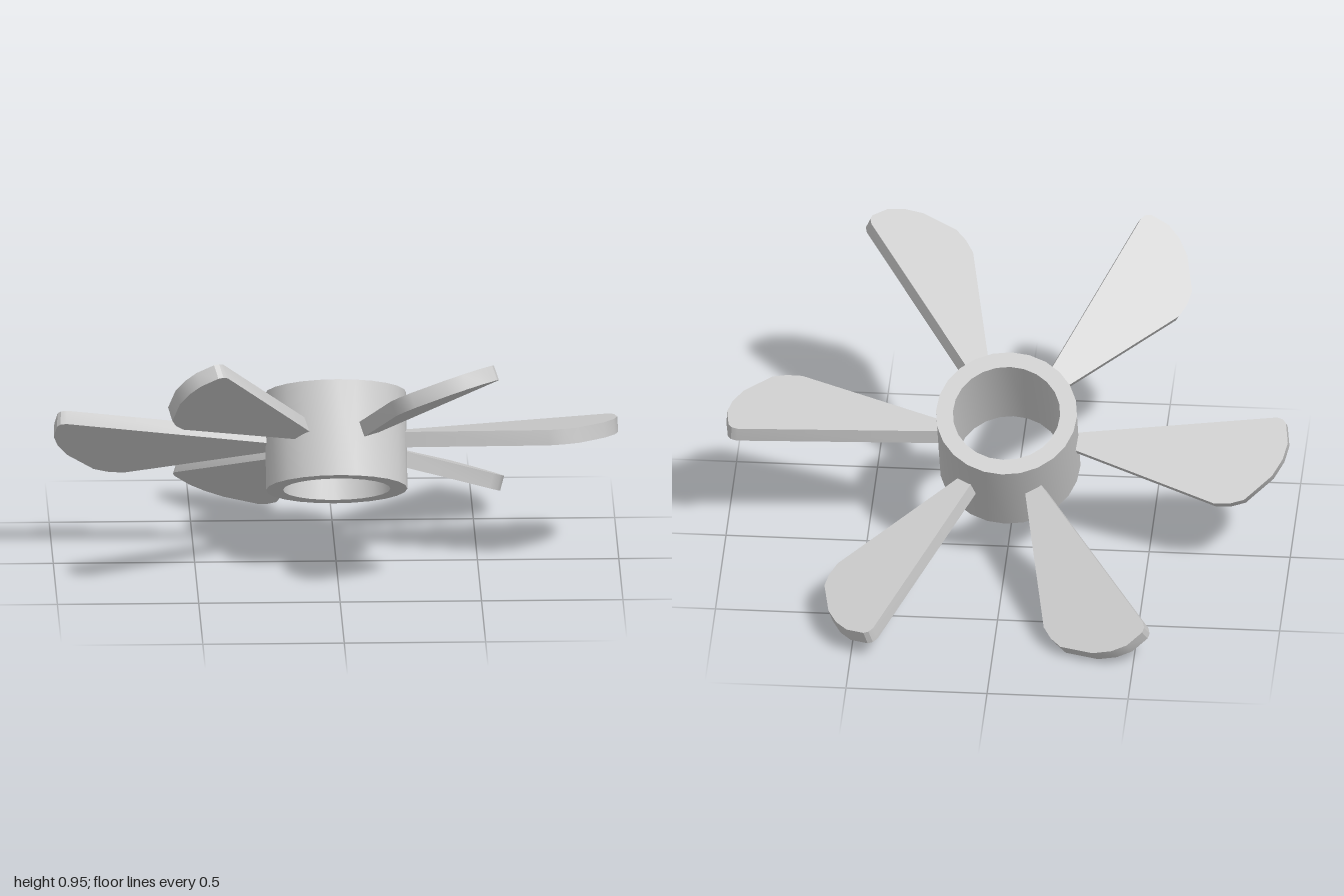
import * as THREE from 'three';
import { toCreasedNormals } from 'three/addons/utils/BufferGeometryUtils.js';

export function createModel() {
  const model = new THREE.Group();
  model.name = 'propeller';
  const material = new THREE.MeshStandardMaterial({ color: 0xcccccc });

  // Tilted rotor that carries the hub and all blades
  const rotor = new THREE.Group();
  rotor.name = 'rotor';
  rotor.position.set(0, 0.475, 0.007);
  rotor.rotation.x = -THREE.MathUtils.degToRad(28.4);
  model.add(rotor);

  // Hub: a tube with sharp rims
  const outer = 0.25, inner = 0.19, half = 0.173;
  const profile = [
    [inner, -half], [outer, -half], [outer, half], [inner, half], [inner, -half],
  ].map(([r, y]) => new THREE.Vector2(r, y));
  const hub = new THREE.Mesh(
    toCreasedNormals(new THREE.LatheGeometry(profile, 24), 0.6), material);
  hub.name = 'hub';
  rotor.add(hub);

  // Blade outline: distance from the axis, sideways offset
  const outline = [
    [0.22, -0.006], [0.22, 0.044], [0.745, 0.228], [0.80, 0.227], [0.85, 0.214],
    [0.945, 0.132], [0.98, 0.075], [0.995, 0.02], [0.985, -0.046], [0.973, -0.06], [0.952, -0.066],
  ].map(([u, v]) => new THREE.Vector2(u, -v));
  const thickness = 0.055;
  const bladeGeometry = new THREE.ExtrudeGeometry(new THREE.Shape(outline), {
    depth: thickness, bevelEnabled: false,
  });
  bladeGeometry.translate(0, 0, -thickness);

  // Lay the plate onto its pitched plane y = height + rise * x + pitch * z
  const height = 0.025, rise = 0.059, pitch = -0.357;
  const normal = new THREE.Vector3(-rise, 1, -pitch).normalize();
  bladeGeometry.applyMatrix4(new THREE.Matrix4().makeBasis(
    new THREE.Vector3(1, rise, 0), new THREE.Vector3(0, -pitch, -1), normal,
  ).setPosition(0, height, 0));
  const creased = toCreasedNormals(bladeGeometry, 0.5);

  // Six blades around the hub
  for (let i = 0; i < 6; i++) {
    const blade = new THREE.Mesh(creased, material);
    blade.name = `blade${i + 1}`;
    blade.rotation.y = (i * Math.PI) / 3;
    rotor.add(blade);
  }
  return model;
}
